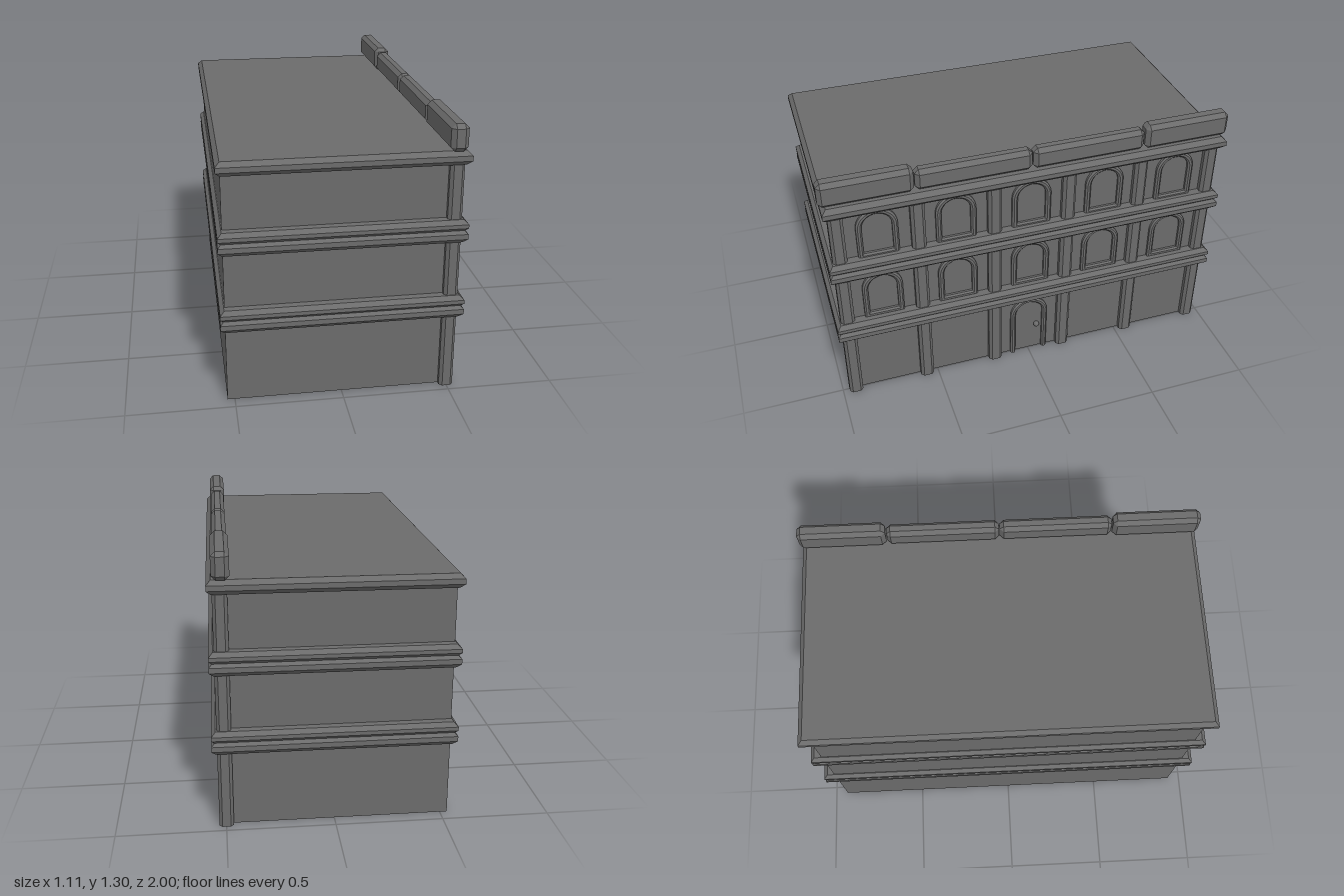
import * as THREE from 'three';
import { ConvexGeometry } from 'three/addons/geometries/ConvexGeometry.js';

const WALL_X = 0.498; // plane of the decorated facade, which faces +x
const material = new THREE.MeshStandardMaterial({ color: 0x6b6b6b, flatShading: true });
const smooth = new THREE.MeshStandardMaterial({ color: 0x6b6b6b });

// Convex block from a list of corners in the positive octant, mirrored to all eight.
function mirroredBlock(corners) {
  const points = [];
  for (const sx of [-1, 1]) for (const sy of [-1, 1]) for (const sz of [-1, 1]) {
    for (const [x, y, z] of corners) points.push(new THREE.Vector3(sx * x, sy * y, sz * z));
  }
  return new ConvexGeometry(points);
}

// Slab with mitred corners, chamfered along its top and bottom edges.
function slab(w, h, d, c) {
  const x = w / 2, y = h / 2, z = d / 2;
  return mirroredBlock([[x, y - c, z], [x - c, y, z - c]]);
}

// Post with its four upright edges chamfered.
function post(w, h, d, c) {
  const x = w / 2, y = h / 2, z = d / 2;
  return mirroredBlock([[x, y, z - c], [x - c, y, z]]);
}

// Block with every edge chamfered.
function chamferBlock(w, h, d, c) {
  const x = w / 2, y = h / 2, z = d / 2;
  return mirroredBlock([[x, y - c, z - c], [x - c, y, z - c], [x - c, y - c, z]]);
}

// Round-headed outline, from the right foot over the arch to the left foot.
function archOutline(target, halfWidth, bottom, top) {
  target.moveTo(halfWidth, bottom);
  target.lineTo(halfWidth, top - halfWidth);
  target.absarc(0, top - halfWidth, halfWidth, 0, Math.PI, false);
  target.lineTo(-halfWidth, bottom);
  return target;
}

// Bevelled arched surround facing +x: closed by a sill, or open at the foot for a door.
function archFrame(halfWidth, height, band, sill) {
  const bevel = 0.008;
  const shape = archOutline(new THREE.Shape(), halfWidth - bevel, sill ? bevel : 0, height - bevel);
  const inner = halfWidth - band + bevel;
  const innerTop = height - band + bevel;
  if (sill) {
    shape.closePath();
    shape.holes.push(archOutline(new THREE.Path(), inner, band - bevel, innerTop).closePath());
  } else {
    shape.lineTo(-inner, 0);
    shape.lineTo(-inner, innerTop - inner);
    shape.absarc(0, innerTop - inner, inner, Math.PI, 0, true);
    shape.lineTo(inner, 0);
  }
  const geometry = new THREE.ExtrudeGeometry(shape, {
    depth: 0.019, bevelEnabled: true, bevelThickness: bevel, bevelSize: bevel, bevelSegments: 1, curveSegments: 12,
  });
  // keep the feet of the surround on the ground
  const p = geometry.attributes.position;
  for (let i = 0; i < p.count; i++) p.setY(i, Math.max(0, p.getY(i)));
  return geometry.rotateY(Math.PI / 2);
}

export function createModel() {
  const model = new THREE.Group();
  const add = (name, geometry, x, y, z, mat = material) => {
    const mesh = new THREE.Mesh(geometry, mat);
    mesh.name = name;
    mesh.position.set(x, y, z);
    model.add(mesh);
  };

  // Main block
  add('walls', new THREE.BoxGeometry(WALL_X + 0.534, 1.14, 1.87), (WALL_X - 0.534) / 2, 0.57, 0);

  // Paired belt courses and the roof slab
  const lowerBelt = slab(1.112, 0.066, 1.98, 0.021);
  const upperBelt = slab(1.112, 0.056, 1.98, 0.019);
  for (const y of [0.366, 0.739]) {
    add('lowerBelt', lowerBelt, 0, y + 0.033, 0);
    add('upperBelt', upperBelt, 0, y + 0.0825, 0);
  }
  add('roofCornice', lowerBelt, 0, 1.139, 0);

  // Pilasters along the facade
  const pilaster = post(0.066, 1.13, 0.068, 0.014);
  for (const z of [0.933, 0.558, 0.187]) {
    for (const side of [1, -1]) add('pilaster', pilaster, WALL_X + 0.001, 0.565, side * z);
  }

  // Parapet blocks, the outer pair slightly taller
  const outer = chamferBlock(0.079, 0.125, 0.435, 0.02);
  const middle = chamferBlock(0.07, 0.107, 0.558, 0.02);
  for (const side of [1, -1]) {
    add('outerParapet', outer, 0.494, 1.2335, side * 0.7825);
    add('middleParapet', middle, 0.494, 1.2245, side * 0.281);
  }

  // Arched windows on the two upper floors
  const windowFrame = archFrame(0.098, 0.27, 0.027, true);
  for (const y of [0.472, 0.838]) {
    for (let i = -2; i <= 2; i++) add('windowFrame', windowFrame, WALL_X - 0.008, y, i * 0.374);
  }

  // Door with its surround and knob
  add('doorFrame', archFrame(0.099, 0.358, 0.026, false), WALL_X - 0.008, 0, 0);
  add('doorKnob', new THREE.SphereGeometry(0.015, 16, 10), WALL_X + 0.009, 0.166, -0.043, smooth);

  return model;
}
